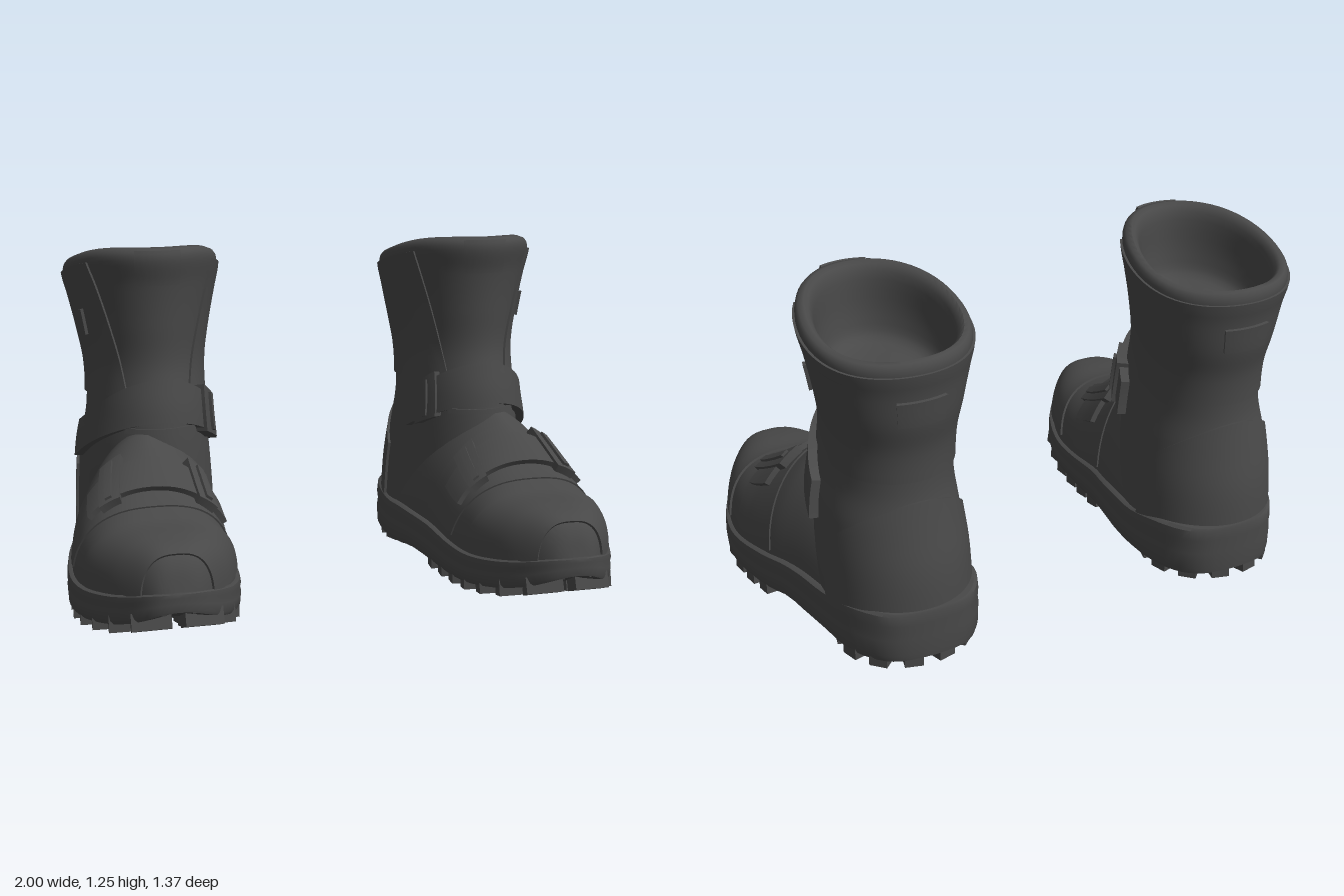
import * as THREE from 'three';
import { toCreasedNormals } from 'three/addons/utils/BufferGeometryUtils.js';

const PI = Math.PI;
const rubber = new THREE.MeshStandardMaterial({ color: 0x484848 });
rubber.name = 'charcoal';

// Smooth interpolation of rows [key, a, b, ...] sorted by key
function table(rows) {
  const slope = (i, c) => {
    const a = rows[Math.max(i - 1, 0)], b = rows[Math.min(i + 1, rows.length - 1)];
    return (b[c] - a[c]) / (b[0] - a[0]);
  };
  return (key) => {
    const k = Math.min(Math.max(key, rows[0][0]), rows[rows.length - 1][0]);
    let i = 0;
    while (i < rows.length - 2 && k > rows[i + 1][0]) i++;
    const a = rows[i], b = rows[i + 1], h = b[0] - a[0], s = (k - a[0]) / h;
    return a.slice(1).map((v, n) => {
      const c = n + 1, s2 = s * s, s3 = s2 * s;
      return (2 * s3 - 3 * s2 + 1) * v + (s3 - 2 * s2 + s) * h * slope(i, c)
        + (3 * s2 - 2 * s3) * b[c] + (s3 - s2) * h * slope(i + 1, c);
    });
  };
}

// Surface through a grid of points, rows by columns
function grid(rows, cols, point) {
  const pos = [], idx = [];
  for (let i = 0; i <= rows; i++) for (let j = 0; j <= cols; j++) pos.push(...point(i, j).toArray());
  for (let i = 0; i < rows; i++) for (let j = 0; j < cols; j++) {
    const a = i * (cols + 1) + j, c = a + cols + 1;
    idx.push(a, a + 1, c, a + 1, c + 1, c);
  }
  const g = new THREE.BufferGeometry();
  g.setAttribute('position', new THREE.Float32BufferAttribute(pos, 3));
  g.setIndex(idx);
  return g;
}

// Raised panel lying on a surface; map turns (0..1, 0..1) into surface parameters
function patch(surf, map, thick, nu = 10, nv = 24) {
  const e = 0.002;
  return grid(nu + 2, nv + 2, (i, j) => {
    const edge = i === 0 || j === 0 || i === nu + 2 || j === nv + 2;
    const c = (k, n) => Math.min(Math.max(k - 1, 0), n) / n;
    const [u, v] = map(c(i, nu), c(j, nv));
    const du = surf(u + e, v).sub(surf(u - e, v));
    const dv = surf(u, v + e).sub(surf(u, v - e));
    return surf(u, v).addScaledVector(dv.cross(du).normalize(), edge ? -0.012 : thick);
  });
}
const rect = (u0, u1, v0, v1) => (a, b) => [u0 + (u1 - u0) * a, v0 + (v1 - v0) * b];

// Sole plan: z -> inner x, outer x, underside y, top y
const sole = table([
  [-0.685, 0.55, 0.66, 0.05, 0.23], [-0.66, 0.47, 0.74, 0.045, 0.23], [-0.6, 0.405, 0.805, 0.04, 0.23],
  [-0.5, 0.36, 0.86, 0.04, 0.225], [-0.35, 0.345, 0.885, 0.04, 0.2], [-0.22, 0.35, 0.91, 0.045, 0.2],
  [-0.12, 0.36, 0.935, 0.055, 0.195], [0, 0.385, 0.97, 0.04, 0.18], [0.2, 0.4, 0.998, 0.032, 0.155],
  [0.35, 0.42, 0.98, 0.04, 0.15], [0.5, 0.475, 0.92, 0.062, 0.165], [0.6, 0.545, 0.855, 0.09, 0.185],
  [0.66, 0.61, 0.8, 0.12, 0.2], [0.685, 0.67, 0.75, 0.14, 0.205],
]);
// Foot: z -> top y, dome exponent
const instep = table([
  [-0.45, 0.45, 1.2], [-0.2, 0.58, 1.25], [-0.05, 0.6, 1.25], [0.02, 0.56, 1.2], [0.115, 0.49, 1.05],
  [0.235, 0.412, 0.9], [0.32, 0.38, 0.78], [0.39, 0.36, 0.72], [0.52, 0.348, 0.7], [0.61, 0.325, 0.7],
  [0.65, 0.275, 0.75], [0.675, 0.19, 0.8],
]);
const foot = (z, a) => {
  const [x0, x1] = sole(z), [top, p] = instep(z), c = Math.cos(a);
  const half = Math.max((x1 - x0) / 2 - 0.018, 0.01);
  const s = Math.max(Math.sin(a), 0);
  return new THREE.Vector3((x0 + x1) / 2 + half * Math.sign(c) * Math.abs(c) ** p,
    0.13 + (top - 0.13) * s ** Math.min(p, 1), z);
};
// Shaft, over the rim and down to the insole: key -> front y, z, back y, z, inner x, outer x
const shaftRows = table([
  [0.15, 0.15, 0, 0.15, -0.665, 0.36, 0.87], [0.35, 0.35, 0, 0.35, -0.653, 0.37, 0.865],
  [0.5, 0.52, 0, 0.5, -0.622, 0.385, 0.855], [0.65, 0.66, -0.015, 0.63, -0.598, 0.4, 0.832],
  [0.8, 0.82, -0.055, 0.78, -0.602, 0.4, 0.828], [0.95, 0.97, -0.05, 0.9, -0.63, 0.38, 0.85],
  [1.1, 1.12, -0.035, 1.02, -0.645, 0.353, 0.88], [1.2, 1.21, -0.015, 1.09, -0.66, 0.338, 0.9],
  [1.25, 1.243, -0.025, 1.125, -0.652, 0.345, 0.893], [1.28, 1.252, -0.055, 1.132, -0.63, 0.368, 0.868],
  [1.32, 1.22, -0.083, 1.1, -0.608, 0.39, 0.846], [1.42, 1.06, -0.1, 0.96, -0.6, 0.4, 0.83],
  [1.5, 0.98, -0.14, 0.9, -0.565, 0.44, 0.79], [1.6, 0.94, -0.35, 0.94, -0.35, 0.62, 0.62],
]);
const shaft = (u, t) => {
  const [yF, zF, yB, zB, x0, x1] = shaftRows(u), c = Math.cos(t), s = (1 + c) / 2;
  return new THREE.Vector3((x0 + x1) / 2 + (x1 - x0) / 2 * Math.sin(t) * (1 - 0.1 * c),
    yB + (yF - yB) * s * s * (3 - 2 * s), (zF + zB) / 2 + (zF - zB) / 2 * c);
};

// Sole wall layers: outline scale, height share
const layers = [[0, 0], [0.6, 0], [0.95, 0], [0.99, 0.12], [1, 0.45], [0.985, 0.6], [1, 0.75], [0.985, 0.95], [0.93, 1], [0, 1]];
const soleWall = (i, j) => {
  const t = j / 80 * 2 * PI, z = 0.685 * Math.cos(t), [x0, x1, y0, y1] = sole(z), [k, f] = layers[i];
  const mid = (x0 + x1) / 2, wide = (x1 - x0) / 2;
  const side = Math.max(-1, Math.min(1, Math.sin(t) * 8));
  return new THREE.Vector3(mid + wide * side * k, y0 + (y1 - y0) * f, z * (k === 0 ? 0.93 : 0.93 + 0.07 * k));
};

// Tread block under the sole
function lug(x, z, w, d, turn) {
  const slope = (sole(z + 0.03)[2] - sole(z - 0.03)[2]) / 0.06;
  const g = new THREE.BoxGeometry(w, 0.06, d);
  g.rotateY(turn).rotateX(-Math.atan(slope));
  return g.translate(x, sole(z)[2] + 0.002, z);
}

export function createModel() {
  const model = new THREE.Group();
  model.name = 'bootPair';
  const boots = [1, -1].map((side) => {
    const g = new THREE.Group();
    g.name = side > 0 ? 'leftBoot' : 'rightBoot';
    model.add(g);
    return g;
  });
  // Adds a part to the left boot and its mirror image to the right boot
  const add = (name, geometry, crease = 0.65) => {
    const mirrored = geometry.clone().scale(-1, 1, 1);
    const ix = mirrored.index.array;
    for (let i = 0; i < ix.length; i += 3) [ix[i], ix[i + 1]] = [ix[i + 1], ix[i]];
    [geometry, mirrored].forEach((g, n) => {
      g.deleteAttribute('normal');
      const mesh = new THREE.Mesh(toCreasedNormals(g, crease), rubber);
      mesh.name = name;
      boots[n].add(mesh);
    });
  };

  // Main body
  add('foot', grid(48, 36, (i, j) => foot(-0.45 + 1.125 * Math.sin(i / 48 * PI / 2), j / 36 * PI)), 0.9);
  add('shaft', grid(72, 56, (i, j) => shaft(0.15 + 1.45 * i / 72, j / 56 * 2 * PI)), 0.9);
  add('sole', grid(layers.length - 1, 80, soleWall));

  // Panels sewn onto the upper
  add('toeCap', patch(foot, (a, b) => {
    const v = 0.12 + (PI - 0.24) * b;
    return [0.3 + 0.07 * Math.sin(v) + (0.32 - 0.07 * Math.sin(v)) * a, v];
  }, 0.008, 16, 30), 0.9);
  add('vamp', patch(foot, (a, b) => {
    const v = 0.15 + (PI - 0.3) * b, s = Math.sin(v);
    return [-0.04 + 0.08 * s + (0.22 + 0.02 * s) * a, v];
  }, 0.006, 10, 30));
  add('shaftWrap', patch(shaft, (a, b) => {
    const e = 0.6 + 0.42 * a;
    return [0.7 + 0.5 * a, e + (2 * PI - 2 * e) * b];
  }, 0.008, 16, 48));
  add('heelCounter', patch(shaft, (a, b) => {
    const t = 1.75 + (2 * PI - 3.5) * b;
    return [0.18 + (0.36 - 0.08 * Math.cos(t)) * a * (0.6 + 0.4 * Math.sin(b * PI)), t];
  }, 0.01, 10, 30));
  add('frontTab', patch(shaft, rect(1.1, 1.24, -0.32, 0.32), 0.012));
  add('backLoop', patch(shaft, rect(0.96, 1.07, PI - 0.3, PI + 0.3), 0.02));
  add('sideLoop', patch(shaft, rect(0.92, 1.02, 1.27, 1.34), 0.02, 4, 4));
  for (const y of [0.58, 0.61]) add('tongueFold', patch(shaft, rect(y - 0.01, y + 0.01, -0.6, 0.6), 0.02, 4, 16));

  // Upper strap, slanting down towards the heel
  const slant = (w, t0, t1) => (a, b) => {
    const t = t0 + (t1 - t0) * b;
    return [0.685 - 0.17 * (1 - Math.cos(t)) + w * (a - 0.5), t];
  };
  add('upperStrap', patch(shaft, slant(0.14, -1.25, 1.55), 0.032, 6, 32));
  add('upperBuckle', patch(shaft, slant(0.17, -1.05, -0.75), 0.045, 6, 8));
  add('upperBuckleBar', patch(shaft, slant(0.14, -0.93, -0.87), 0.056, 4, 4));

  // Lower strap with a buckle at each end
  add('lowerStrap', patch(foot, rect(0.085, 0.205, 0.75, 2.6), 0.026, 6, 28));
  for (const a of [1.08, 2.22]) {
    add('lowerBuckle', patch(foot, rect(0.05, 0.23, a - 0.13, a + 0.13), 0.036, 6, 8));
    add('lowerBuckleBar', patch(foot, rect(0.065, 0.215, a - 0.04, a + 0.04), 0.046, 6, 4));
  }

  // Forefoot tread: paired slanting bars
  for (let i = 0; i < 7; i++) {
    const z = 0.03 + i * 0.094, [x0, x1] = sole(z), mid = (x0 + x1) / 2, w = (x1 - x0) / 2;
    for (const s of [-1, 1]) add('forefootLug', lug(mid + s * w * 0.54, z, w * 0.84, 0.058, s * 0.12));
  }
  // Heel tread: bars fanning from the centre
  for (let i = 0; i < 12; i++) {
    const t = (i + 0.5) / 12 * 2 * PI;
    add('heelLug', lug(0.615 + 0.16 * Math.sin(t), -0.45 + 0.145 * Math.cos(t), 0.065, 0.16, t));
  }
  return model;
}
